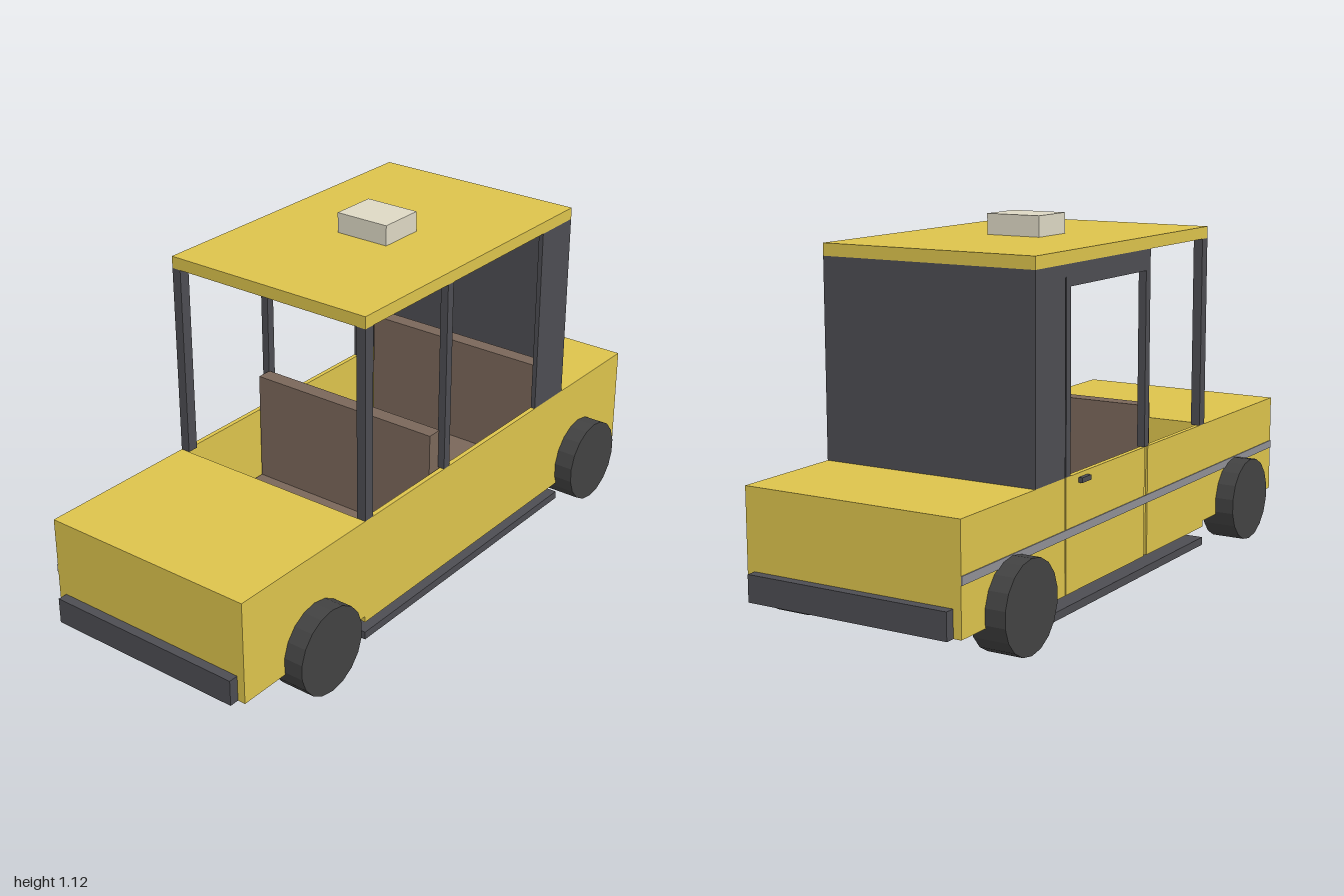
import * as THREE from 'three';

const paint = (color) => new THREE.MeshStandardMaterial({ color, flatShading: true });

export function createModel() {
  const car = new THREE.Group();
  car.name = 'taxi';
  const yellow = paint(0xdcc34c), dark = paint(0x4d4d52), rubber = paint(0x424242);
  const brown = paint(0x7a675a), beige = paint(0xddd8c4), grey = paint(0x909096);

  // box given by its limits on each axis
  const box = (name, mat, x0, x1, y0, y1, z0, z1) => {
    const mesh = new THREE.Mesh(new THREE.BoxGeometry(x1 - x0, y1 - y0, z1 - z0), mat);
    mesh.position.set((x0 + x1) / 2, (y0 + y1) / 2, (z0 + z1) / 2);
    mesh.name = name;
    car.add(mesh);
    return mesh;
  };

  const W = 0.352;            // half width of the body
  const T = 0.015;            // side panel thickness
  const SILL = 0.425, TOP = 1.02;

  // lower body: closed boxes at both ends, open cabin between them
  box('hood', yellow, -0.97, -0.44, 0.105, SILL, -W, W);
  box('trunk', yellow, 0.605, 0.97, 0.105, SILL, -W, W);
  box('sidePanel', yellow, -0.44, 0.605, 0.085, SILL, W - T, W);
  box('frontSidePanel', yellow, -0.44, -0.05, 0.085, SILL, -W, -W + T);
  box('doorPost', yellow, -0.05, -0.03, 0.085, SILL, -W + 0.006, -W + T);
  box('door', yellow, -0.03, 0.44, 0.085, SILL, -W, -W + T);
  box('rearSidePanel', yellow, 0.445, 0.605, 0.085, SILL, -W, -W + T);
  box('floor', dark, -0.44, 0.605, 0.025, 0.05, -W, W);

  // cabin: pillars and rear quarter panels on both sides, rear wall, roof
  for (const s of [1, -1]) {
    const side = (name, x0, x1, t) =>
      box(name, dark, x0, x1, SILL, TOP, s > 0 ? W - t : -W, s > 0 ? W : -W + t);
    side('frontPillar', -0.44, -0.405, 0.03);
    side('middlePillar', -0.055, -0.028, 0.025);
    side('rearQuarter', 0.445, 0.605, T);
  }
  box('rearWall', dark, 0.59, 0.605, SILL, TOP, -W + T, W - T);
  box('roof', yellow, -0.44, 0.605, TOP, 1.057, -W, W);
  box('roofSign', beige, 0, 0.15, 1.057, 1.12, -0.09, 0.09);

  // door window frame, handle and trim on one side
  box('doorHeader', dark, -0.028, 0.445, 0.985, TOP, -W, -W + T);
  box('doorFrameTop', dark, -0.028, 0.44, 0.957, 0.985, -W, -W + T);
  box('doorFramePost', dark, 0.415, 0.44, SILL, 0.957, -W, -W + T);
  box('doorHandle', dark, 0.32, 0.37, 0.397, 0.412, -0.365, -W);
  box('trimStripe', grey, -0.97, 0.97, 0.25, 0.275, -0.355, -W);

  // bench seats
  for (const x of [-0.1, 0.495]) {
    box('seatBack', brown, x, x + 0.05, 0.19, 0.547, -0.33, 0.33);
    box('seatCushion', brown, x - 0.2, x, 0.145, 0.195, -0.33, 0.33);
  }

  // bumpers
  box('frontBumper', dark, -1, -0.97, 0.105, 0.185, -0.327, 0.327);
  box('rearBumper', dark, 0.97, 1, 0.105, 0.185, -0.327, 0.327);

  // wheels
  const wheelGeo = new THREE.CylinderGeometry(0.135, 0.135, 0.11, 18).rotateX(Math.PI / 2);
  for (const x of [-0.67, 0.725]) {
    for (const z of [-0.359, 0.359]) {
      const wheel = new THREE.Mesh(wheelGeo, rubber);
      wheel.position.set(x, 0.137, z);
      wheel.name = 'wheel';
      car.add(wheel);
    }
  }
  return car;
}
